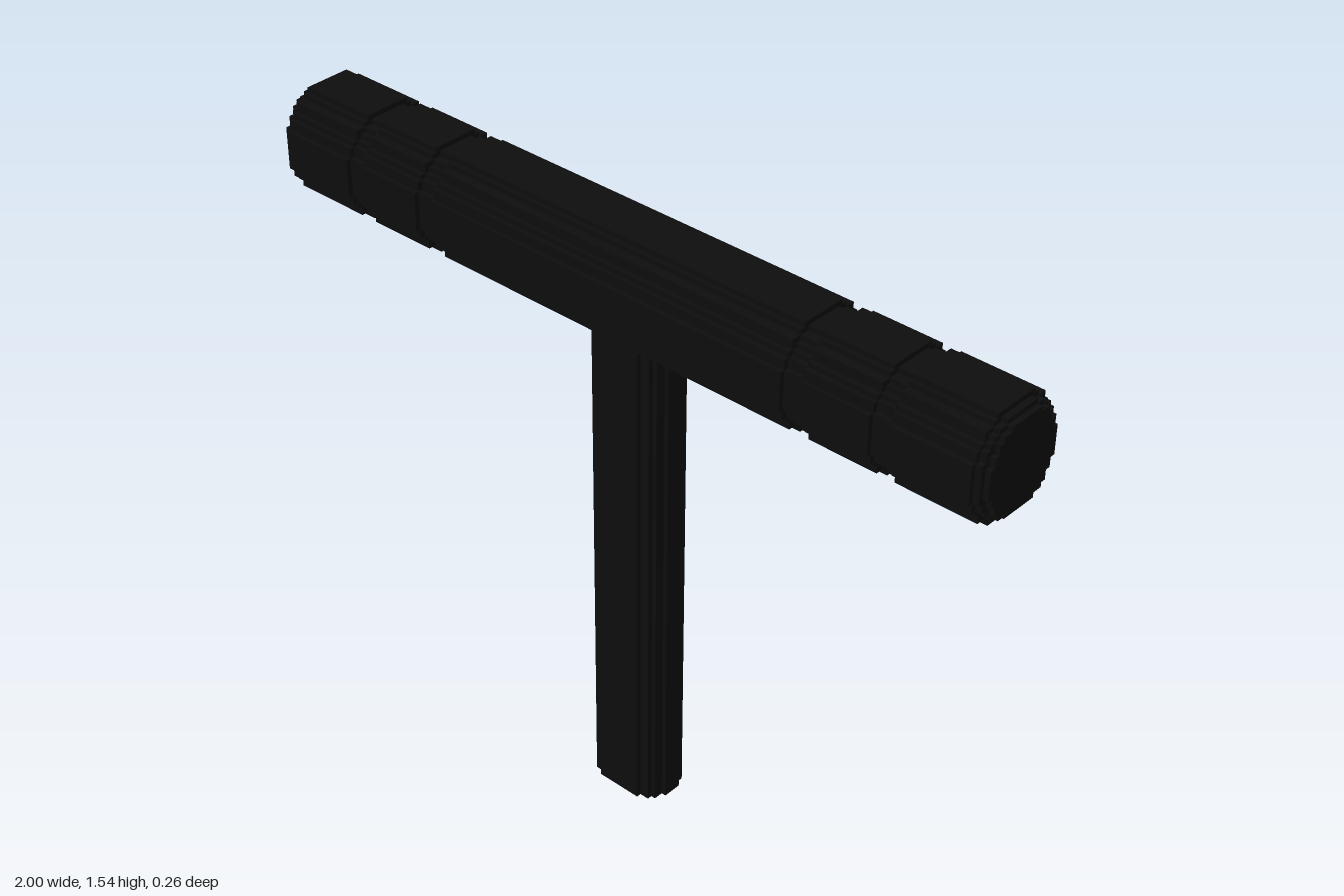
import * as THREE from 'three';

const U = 0.012; // step size of the blocky surface
const material = new THREE.MeshStandardMaterial({ color: 0x0d0d0d, flatShading: true });

// Ellipse outline made of square steps
function steppedOutline(rx, ry) {
  const rows = Math.round(ry / U), step = ry / rows, quarter = [];
  for (let j = 0; j < rows; j++) {
    const w = Math.max(1, Math.round(rx * Math.sqrt(1 - (j / rows) ** 2) / U)) * U;
    const last = quarter[quarter.length - 1];
    if (last && last[0] === w) last[1] = (j + 1) * step;
    else quarter.push([w, j * step], [w, (j + 1) * step]);
  }
  quarter.shift(); // the first point lies on the axis, mid-edge
  const back = [...quarter].reverse();
  const points = [
    ...quarter,
    ...back.map(([x, y]) => [-x, y]),
    ...quarter.map(([x, y]) => [-x, -y]),
    ...back.map(([x, y]) => [x, -y]),
  ];
  return new THREE.Shape(points.map(([x, y]) => new THREE.Vector2(x, y)));
}

function steppedBar(name, rx, ry, length) {
  const geometry = new THREE.ExtrudeGeometry(steppedOutline(rx, ry), { depth: length, bevelEnabled: false });
  const mesh = new THREE.Mesh(geometry, material);
  mesh.name = name;
  return mesh;
}

export function createModel() {
  const model = new THREE.Group();
  model.name = 'hammer';

  // Oval handle
  const handle = steppedBar('handle', 0.108, 0.073, 1.3);
  handle.geometry.rotateX(-Math.PI / 2);
  model.add(handle);

  // Round head along x: centre barrel, then bands, grooves and stepped tips
  const head = new THREE.Group();
  head.name = 'head';
  head.position.y = 1.408;
  const R = 0.132;
  const addSection = (name, from, to, r) => {
    const section = steppedBar(name, r, r, to - from);
    section.geometry.rotateY(Math.PI / 2);
    section.position.x = from;
    head.add(section);
  };
  addSection('barrel', -0.5, 0.5, R);
  const sections = [
    ['groove', 0.5, 0.55, R - U],
    ['band', 0.55, 0.725, R],
    ['groove', 0.725, 0.77, R - U],
    ['endBand', 0.77, 0.972, R],
    ['tipStep', 0.972, 0.987, R - U],
    ['tip', 0.987, 1, R - 2 * U],
  ];
  for (const [name, from, to, r] of sections) {
    addSection(name + 'Left', from, to, r);
    addSection(name + 'Right', -to, -from, r);
  }
  model.add(head);
  return model;
}
